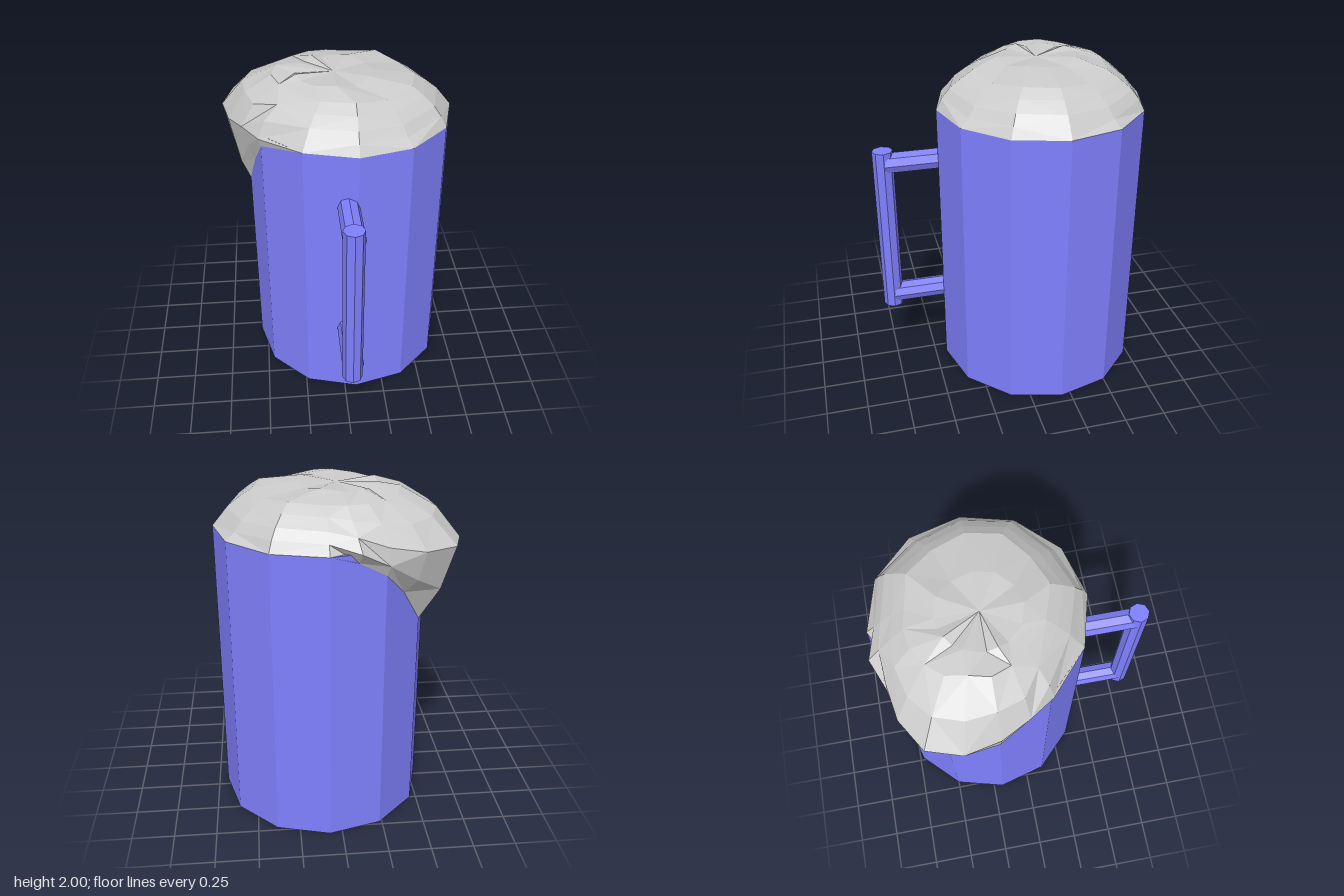
import * as THREE from 'three';

const CX = 0.075, CZ = -0.19, R = 0.62, RIM = 1.74;
const blue = new THREE.MeshStandardMaterial({ color: 0x8080ff, flatShading: true });
const grey = new THREE.MeshStandardMaterial({ color: 0xcccccc, flatShading: true, side: THREE.DoubleSide });

function add(parent, name, geometry, material, x = 0, y = 0, z = 0) {
  const mesh = new THREE.Mesh(geometry, material);
  mesh.name = name;
  mesh.position.set(x, y, z);
  parent.add(mesh);
  return mesh;
}

// Foam cross-section on the plain side of the mug: [radius, height] from rim to shoulder
const plain = [[0.62, RIM], [0.575, 1.795], [0.53, 1.85], [0.46, 1.905], [0.39, 1.95]];

// Cross-sections where the foam spills over, keyed by angle in degrees (+x towards +z)
const spill = {
  150: [[0.62, 1.67], [0.637, 1.72], [0.59, 1.82], [0.50, 1.9], [0.40, 1.95]],
  165: [[0.60, 1.5], [0.64, 1.6], [0.67, 1.73], [0.59, 1.86], [0.43, 1.96]],
  180: [[0.62, 1.28], [0.67, 1.4], [0.73, 1.7], [0.62, 1.87], [0.46, 1.97]],
  195: [[0.60, 1.27], [0.71, 1.37], [0.80, 1.7], [0.66, 1.87], [0.45, 1.98]],
  210: [[0.62, 1.25], [0.74, 1.45], [0.82, 1.71], [0.67, 1.86], [0.47, 1.96]],
  225: [[0.60, 1.46], [0.69, 1.55], [0.74, 1.72], [0.63, 1.85], [0.46, 1.95]],
  240: [[0.62, 1.6], [0.65, 1.66], [0.64, 1.76], [0.56, 1.87], [0.45, 1.95]],
  255: [[0.60, 1.69], [0.65, 1.75], [0.58, 1.82], [0.50, 1.89], [0.42, 1.95]],
};

function foamGeometry() {
  const angles = [0, 30, 60, 90, 120, 150, 165, 180, 195, 210, 225, 240, 255, 270, 300, 330];
  const n = angles.length, pos = [], idx = [];
  const columns = angles.map((deg, i) => {
    const a = THREE.MathUtils.degToRad(deg);
    const wobble = Math.sin(i * 2.4);
    const column = (spill[deg] || plain).map(([r, y], k) => {
      // plain side gets gentle lumps above the rim
      const lump = spill[deg] || k === 0 ? 0 : wobble * 0.012;
      return [CX + (r + lump) * Math.cos(a), y + lump, CZ + (r + lump) * Math.sin(a)];
    });
    // nearly level crown, a little off centre
    column.push([-0.02 + 0.23 * Math.cos(a), 1.985 + wobble * 0.012, CZ + 0.24 * Math.sin(a)]);
    return column;
  });
  const rings = columns[0].length;
  for (let k = 0; k < rings; k++) columns.forEach(c => pos.push(...c[k]));
  for (let k = 0; k < rings - 1; k++) {
    for (let i = 0; i < n; i++) {
      const j = (i + 1) % n;
      const a = k * n + i, b = k * n + j, c = a + n, d = b + n;
      // alternate the diagonals for an irregular faceted look
      if ((i + k) % 2) idx.push(a, c, b, b, c, d);
      else idx.push(a, c, d, a, d, b);
    }
  }
  const apex = pos.length / 3, top = (rings - 1) * n;
  pos.push(-0.02, 1.98, CZ);
  for (let i = 0; i < n; i++) idx.push(top + i, apex, top + (i + 1) % n);
  const geometry = new THREE.BufferGeometry();
  geometry.setAttribute('position', new THREE.Float32BufferAttribute(pos, 3));
  geometry.setIndex(idx);
  geometry.computeVertexNormals();
  return geometry;
}

export function createModel() {
  const model = new THREE.Group();
  model.name = 'foamingMug';

  // Twelve-sided mug
  add(model, 'mugBody', new THREE.CylinderGeometry(R, R, RIM, 12), blue, CX, RIM / 2, CZ);

  // Foam head with the overflow down one side
  add(model, 'foam', foamGeometry(), grey);

  // Handle: upright grip on two pegs
  const handle = new THREE.Group();
  handle.name = 'handle';
  add(handle, 'handleGrip', new THREE.CylinderGeometry(0.062, 0.062, 1.07, 8), blue, 0.013, 0.955, 0.75);
  for (const [name, y] of [['upperPeg', 1.41], ['lowerPeg', 0.5]]) {
    const peg = add(handle, name, new THREE.CylinderGeometry(0.065, 0.065, 0.34, 8), blue, 0.018, y, 0.575);
    peg.rotation.x = Math.PI / 2;
  }
  model.add(handle);
  return model;
}
